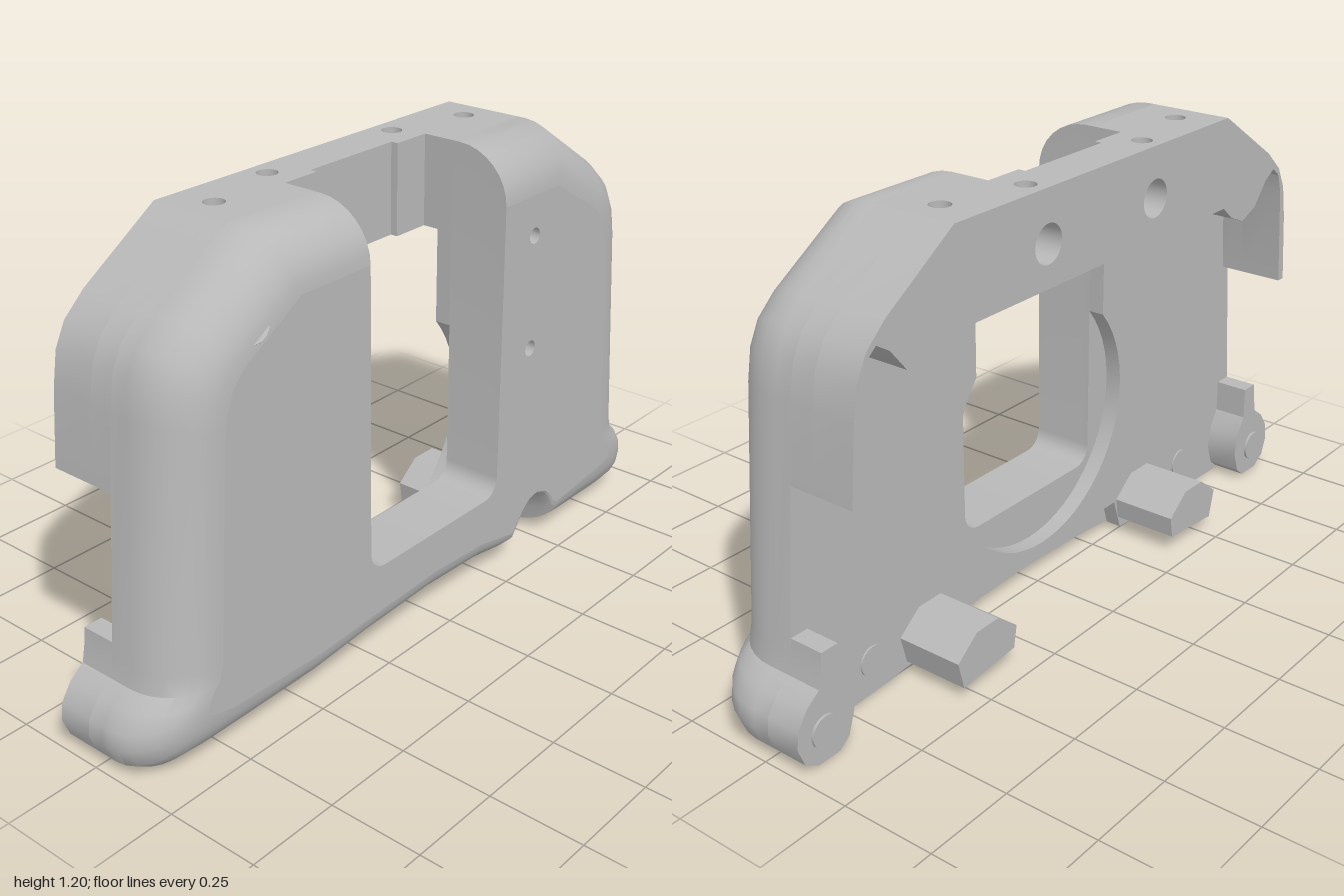
import * as THREE from 'three';
import { toCreasedNormals } from 'three/addons/utils/BufferGeometryUtils.js';

const grey = new THREE.MeshStandardMaterial({ color: 0xb8b8b8, side: THREE.DoubleSide });
grey.name = 'plain grey';

// Mirror a row of points in x; rows may hold one or two x, y pairs
const flip = (pts) => pts.map((p) => p.map((v, i) => (i % 2 ? v : -v))).reverse();
const shapeOf = (pts) => new THREE.Shape(pts.map(([x, y]) => new THREE.Vector2(x, y)));
const circle = (x, y, r) => new THREE.Path().absarc(x, y, r, 0, Math.PI * 2, true);

// Outline rows: x, y at the side wall, then x, y where the rounded edge meets the front face
const sideHalf = [
  [0.85, 0, 0.74, 0.12], [0.94, 0.005, 0.8, 0.13], [0.98, 0.03, 0.82, 0.14], [1, 0.08, 0.825, 0.155],
  [0.995, 0.125, 0.82, 0.17], [0.965, 0.17, 0.81, 0.19], [0.925, 0.2, 0.79, 0.21], [0.915, 0.25, 0.775, 0.25],
  [0.865, 0.85, 0.735, 0.82], [0.85, 0.94, 0.725, 0.87], [0.82, 1, 0.705, 0.915], [0.76, 1.055, 0.67, 0.95],
  [0.54, 1.2, 0.49, 1.06], [0.26, 1.2, 0.26, 1.06],
];
const lip = [
  [-0.45, 0.01, -0.45, 0.11], [-0.25, 0.03, -0.25, 0.12], [0, 0.04, 0, 0.13], [0.2, 0.035, 0.2, 0.12],
  [0.33, 0.02, 0.3, 0.1],
];
const raisedEdge = [[-0.45, 0.01], [-0.36, 0.015], [-0.33, 0.105], [0.31, 0.105], [0.33, 0.02]];
const cableNotch = [
  [0.36, 0.03, 0.345, 0.09], [0.375, 0.065, 0.365, 0.115], [0.4, 0.115, 0.39, 0.145], [0.425, 0.138, 0.42, 0.168],
  [0.455, 0.145, 0.455, 0.175], [0.485, 0.135, 0.495, 0.162], [0.505, 0.105, 0.525, 0.135],
  [0.515, 0.07, 0.54, 0.11], [0.525, 0.02, 0.56, 0.1], [0.6, 0.01, 0.6, 0.105],
];
const outline = (bottom) => [...flip(sideHalf), ...bottom, ...cableNotch, ...sideHalf];

// Lower edge of the window, from right to left, with rounded corners
const windowEdge = [];
for (const [cx, a0] of [[0.21, 0], [-0.21, -Math.PI / 2]]) {
  for (let i = 0; i <= 5; i++) {
    const a = a0 - (i / 5) * Math.PI / 2;
    windowEdge.push([cx + 0.05 * Math.cos(a), 0.3 + 0.05 * Math.sin(a)]);
  }
}

export function createModel() {
  const model = new THREE.Group();
  const add = (name, geo) => {
    const mesh = new THREE.Mesh(geo, grey);
    mesh.name = name;
    model.add(mesh);
    return mesh;
  };
  const extrude = (name, shape, z0, z1) => {
    const geo = new THREE.ExtrudeGeometry(shape, { depth: z1 - z0, bevelEnabled: false, curveSegments: 20 });
    return add(name, toCreasedNormals(geo.translate(0, 0, z0), 0.5));
  };

  // Front shell: rings that shrink toward the front along a quarter ellipse
  const outer = outline(lip);
  const ring = (f) => [
    ...outer.map(([x, y, fx, fy]) => [x + (fx - x) * f, y + (fy - y) * f]),
    ...windowEdge,
  ];
  const levels = [[0.03, 0]];
  for (let i = 0; i <= 8; i++) {
    const t = (i / 8) * Math.PI / 2;
    levels.push([0.05 + 0.15 * Math.sin(t), 1 - Math.cos(t)]);
  }
  const n = ring(0).length, pos = [], index = [];
  levels.forEach(([z, f], k) => {
    ring(f).forEach(([x, y]) => pos.push(x, y, z));
    if (!k) return;
    for (let i = 0; i < n; i++) {
      const j = (i + 1) % n, a = (k - 1) * n, b = k * n;
      index.push(a + i, a + j, b + j, a + i, b + j, b + i);
    }
  });
  const shell = new THREE.BufferGeometry();
  shell.setAttribute('position', new THREE.Float32BufferAttribute(pos, 3));
  shell.setIndex(index);
  add('roundedShell', toCreasedNormals(shell, 0.6));

  // Front face with two blind screw holes
  const face = shapeOf(ring(1));
  for (const y of [0.95, 0.635]) {
    face.holes.push(circle(0.39, y, 0.022));
    const cup = [[0, -0.08], [0.022, -0.08], [0.022, 0]].map(([x, h]) => new THREE.Vector2(x, h));
    add('screwHole', new THREE.LatheGeometry(cup, 20).rotateX(Math.PI / 2).translate(0.39, y, 0.2));
  }
  add('frontFace', new THREE.ShapeGeometry(face, 20).translate(0, 0, 0.2));
  add('recessFloor', new THREE.ShapeGeometry(shapeOf(ring(0))).translate(0, 0, 0.03));

  // Rear layer of the plate, with the round recess cut out of it
  const arc = [], a0 = Math.acos(0.26 / 0.345);
  for (let i = 0; i <= 40; i++) {
    const a = a0 - (i / 40) * (Math.PI + 2 * a0);
    arc.push([0.345 * Math.cos(a), 0.47 + 0.345 * Math.sin(a)]);
  }
  extrude('rearLayer', shapeOf([...outline(raisedEdge), ...arc]), -0.015, 0.03);

  // Rear frame: top beam and thin side walls
  const frameHalf = (x0) => [
    [x0, 0.955], [0.54, 0.955], [0.58, 0.92], [0.64, 0.895], [0.7, 0.92], [0.75, 0.98], [0.79, 1.005],
    [0.82, 0.98], [0.835, 0.93], [0.857, 0.66], [0.881, 0.66], [0.865, 0.85], [0.85, 0.94], [0.82, 1],
    [0.76, 1.055], [0.54, 1.2], [0.54, 1.15], [x0, 1.15],
  ];
  const half = frameHalf(0).slice(1, -1);
  const frame = shapeOf([...half, ...flip(half)]);
  for (const s of [1, -1]) frame.holes.push(circle(0.215 * s, 1.065, 0.05));
  extrude('rearFrame', frame, -0.2, -0.08);
  for (const s of [1, -1]) {
    const pts = frameHalf(0.26);
    extrude('frameSide', shapeOf(s > 0 ? pts : flip(pts)), -0.08, -0.015);
    add('slotLedge', new THREE.BoxGeometry(0.11, 0.195, 0.02).translate(0.205 * s, 1.0525, -0.07));
  }

  // Top slab of the beam, with four drilled holes
  const slabHalf = [[0.15, -0.08], [0.15, -0.06], [0.26, -0.06], [0.26, -0.015], [0.54, -0.015], [0.54, -0.2]];
  const slab = shapeOf([...slabHalf, ...flip(slabHalf)]);
  for (const s of [1, -1]) slab.holes.push(circle(0.23 * s, -0.145, 0.027), circle(0.46 * s, -0.09, 0.027));
  const slabGeo = new THREE.ExtrudeGeometry(slab, { depth: 0.05, bevelEnabled: false, curveSegments: 16 });
  add('beamTop', slabGeo.rotateX(Math.PI / 2).translate(0, 1.2, 0));

  // Lower corner ears, their pins and the support blocks
  const ear = [
    [0.911, 0.29], [0.86, 0.29], [0.86, 0.2], [0.83, 0.15], [0.82, 0.09], [0.84, 0.03], [0.87, 0.006], [0.94, 0.005],
    [0.98, 0.03], [1, 0.08], [0.995, 0.125], [0.965, 0.17], [0.925, 0.2], [0.915, 0.25],
  ];
  const block = [[0.35, 0.05], [0.34, 0.11], [0.41, 0.165], [0.49, 0.165], [0.56, 0.11], [0.54, 0.033]];
  const disc = (name, x, y, z, r, h) =>
    add(name, new THREE.CylinderGeometry(r, r, h, 28).rotateX(Math.PI / 2).translate(x, y, z));
  for (const s of [1, -1]) {
    extrude('cornerEar', shapeOf(s > 0 ? ear : flip(ear)), -0.11, -0.015);
    extrude('supportBlock', shapeOf(s > 0 ? block : flip(block)), -0.2, -0.015);
    disc('earPin', 0.915 * s, 0.087, -0.111, 0.042, 0.012);
    disc('smallBoss', 0.66 * s, 0.1, -0.016, 0.04, 0.008);
  }

  // Round button seat on the bevelled corner
  const seat = add('buttonSeat', new THREE.CylinderGeometry(0.053, 0.053, 0.009, 32));
  seat.position.set(-0.63, 1.03, 0.164);
  seat.quaternion.setFromUnitVectors(new THREE.Vector3(0, 1, 0), new THREE.Vector3(-0.37, 0.6, 0.71).normalize());

  return model;
}
